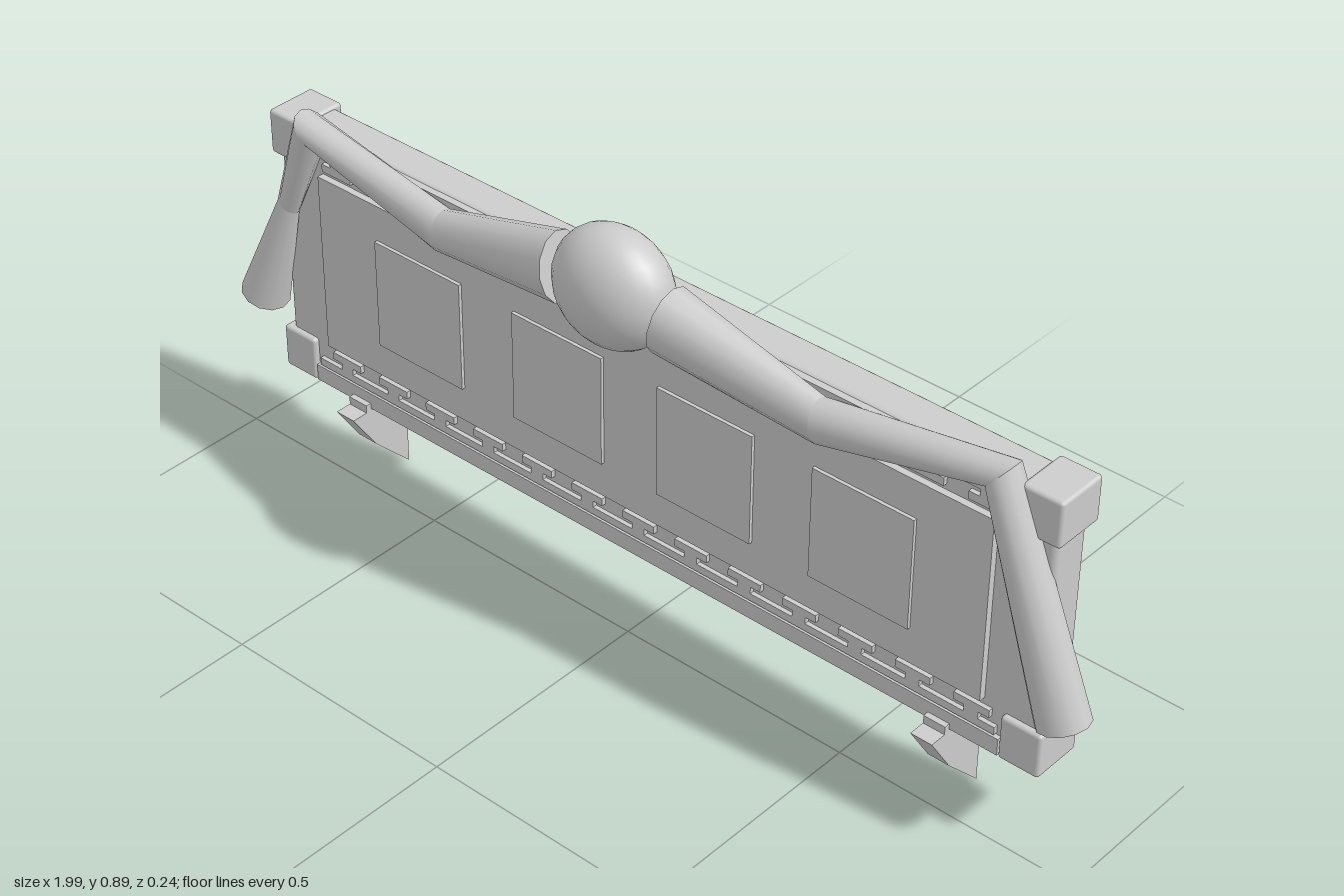
import * as THREE from 'three';
import { RoundedBoxGeometry } from 'three/addons/geometries/RoundedBoxGeometry.js';

const grey = new THREE.MeshStandardMaterial({ color: 0xcccccc, side: THREE.DoubleSide });
grey.name = 'plain grey';

// Box given by its limits, optionally with rounded edges
function block(name, [x0, x1], [y0, y1], [z0, z1], radius = 0) {
  const size = [x1 - x0, y1 - y0, z1 - z0];
  const geo = radius ? new RoundedBoxGeometry(...size, 2, radius) : new THREE.BoxGeometry(...size);
  const mesh = new THREE.Mesh(geo, grey);
  mesh.name = name;
  mesh.position.set((x0 + x1) / 2, (y0 + y1) / 2, (z0 + z1) / 2);
  return mesh;
}

// Stepped key-pattern strip: a base line with a hooked tooth in each period
function fretGeometry() {
  const count = 13, half = 0.81, p = (2 * half) / count;
  const shape = new THREE.Shape();
  shape.moveTo(-half, 0);
  shape.lineTo(half, 0);
  const tooth = [[1, 0.016], [0.72, 0.016], [0.72, 0.03], [0.9, 0.03], [0.9, 0.046],
    [0.3, 0.046], [0.3, 0.03], [0.48, 0.03], [0.48, 0.016], [0, 0.016]];
  for (let i = count - 1; i >= 0; i--)
    for (const [t, y] of tooth) shape.lineTo(-half + (i + t) * p, y);
  return new THREE.ExtrudeGeometry(shape, { depth: 0.009, bevelEnabled: false });
}

// Cloth length between two oval rings; ring = centre c, half-axis u in xy, half-depth d
function clothSegment(name, a, b, side) {
  const n = 12, pos = [], index = [];
  for (const r of [a, b])
    for (let i = 0; i < n; i++) {
      const t = (i / n) * Math.PI * 2;
      pos.push(side * (r.c[0] + r.u[0] * Math.cos(t)), r.c[1] + r.u[1] * Math.cos(t),
        r.c[2] + side * r.d * Math.sin(t));
    }
  for (let i = 0; i < n; i++) {
    const j = (i + 1) % n;
    index.push(i, j, n + i, j, n + j, n + i);
  }
  // separate end caps keep crisp rims
  for (const end of [0, 1]) {
    const base = pos.length / 3;
    pos.push(...pos.slice(end * n * 3, (end + 1) * n * 3));
    for (let i = 1; i < n - 1; i++)
      end ? index.push(base, base + i, base + i + 1) : index.push(base, base + i + 1, base + i);
  }
  const geo = new THREE.BufferGeometry();
  geo.setAttribute('position', new THREE.Float32BufferAttribute(pos, 3));
  geo.setIndex(index);
  geo.computeVertexNormals();
  const mesh = new THREE.Mesh(geo, grey);
  mesh.name = name;
  return mesh;
}

export function createModel() {
  const model = new THREE.Group();
  model.name = 'signBoard';

  // Board, raised panel and square tiles
  model.add(block('board', [-0.893, 0.893], [0.183, 0.745], [-0.106, -0.022], 0.012));
  model.add(block('raisedPanel', [-0.78, 0.78], [0.277, 0.657], [-0.03, -0.008]));
  for (const x of [-0.52, -0.173, 0.173, 0.52])
    model.add(block('tile', [x - 0.108, x + 0.108], [0.352, 0.582], [-0.012, -0.001]));

  // Ledges and key-pattern strips along the top and bottom
  const fret = fretGeometry();
  model.add(block('bottomLedge', [-0.82, 0.82], [0.178, 0.213], [-0.03, -0.012]));
  model.add(block('topLedge', [-0.82, 0.82], [0.715, 0.742], [-0.03, -0.012]));
  for (const top of [false, true]) {
    const strip = new THREE.Mesh(fret, grey);
    strip.name = top ? 'topFret' : 'bottomFret';
    strip.position.set(0, top ? 0.715 : 0.217, top ? -0.013 : -0.022);
    if (top) strip.rotation.x = Math.PI;
    model.add(strip);
  }

  // Corner blocks
  for (const x of [-0.864, 0.864])
    for (const y of [0.222, 0.705])
      model.add(block('cornerBlock', [x - 0.042, x + 0.042], [y - 0.046, y + 0.046], [-0.118, -0.01], 0.007));

  // Pointed feet, profile drawn as (-z, y)
  const foot = new THREE.Shape([[-0.035, 0.173], [0.02, 0.09], [0.106, 0.003], [0.106, 0.19], [0, 0.19], [0, 0.173]]
    .map(([z, y]) => new THREE.Vector2(z, y)));
  const footGeo = new THREE.ExtrudeGeometry(foot, { depth: 0.046, bevelEnabled: false });
  for (const x of [-0.697, 0.697]) {
    const mesh = new THREE.Mesh(footGeo, grey);
    mesh.name = 'foot';
    mesh.rotation.y = Math.PI / 2;
    mesh.position.x = x - 0.023;
    model.add(mesh);
  }

  // Round knot in the middle of the cloth
  const knot = new THREE.Mesh(new THREE.SphereGeometry(1, 24, 16), grey);
  knot.name = 'knot';
  knot.scale.set(0.123, 0.115, 0.085);
  knot.position.set(0, 0.781, 0.036);
  model.add(knot);

  // Draped cloth with hanging tails; the tail at -x is pinched midway
  const inner = { c: [0.122, 0.768, 0.036], u: [0.012, 0.068], d: 0.054 };
  const dip = { c: [0.435, 0.698, 0.012], u: [-0.004, 0.043], d: 0.034 };
  const elbow = { c: [0.79, 0.756, -0.008], u: [0.025, 0.03], d: 0.036 };
  const pinch = { c: [0.865, 0.56, -0.007], u: [0.024, 0.008], d: 0.016 };
  const end = { c: [0.948, 0.328, -0.007], u: [0.047, 0.016], d: 0.048 };
  for (const side of [-1, 1]) {
    const cloth = new THREE.Group();
    cloth.name = side > 0 ? 'leftCloth' : 'rightCloth';
    cloth.add(clothSegment('innerDrape', inner, dip, side));
    cloth.add(clothSegment('outerDrape', dip, elbow, side));
    if (side > 0) cloth.add(clothSegment('tail', elbow, end, side));
    else cloth.add(clothSegment('upperTail', elbow, pinch, side), clothSegment('lowerTail', pinch, end, side));
    model.add(cloth);
  }
  return model;
}
